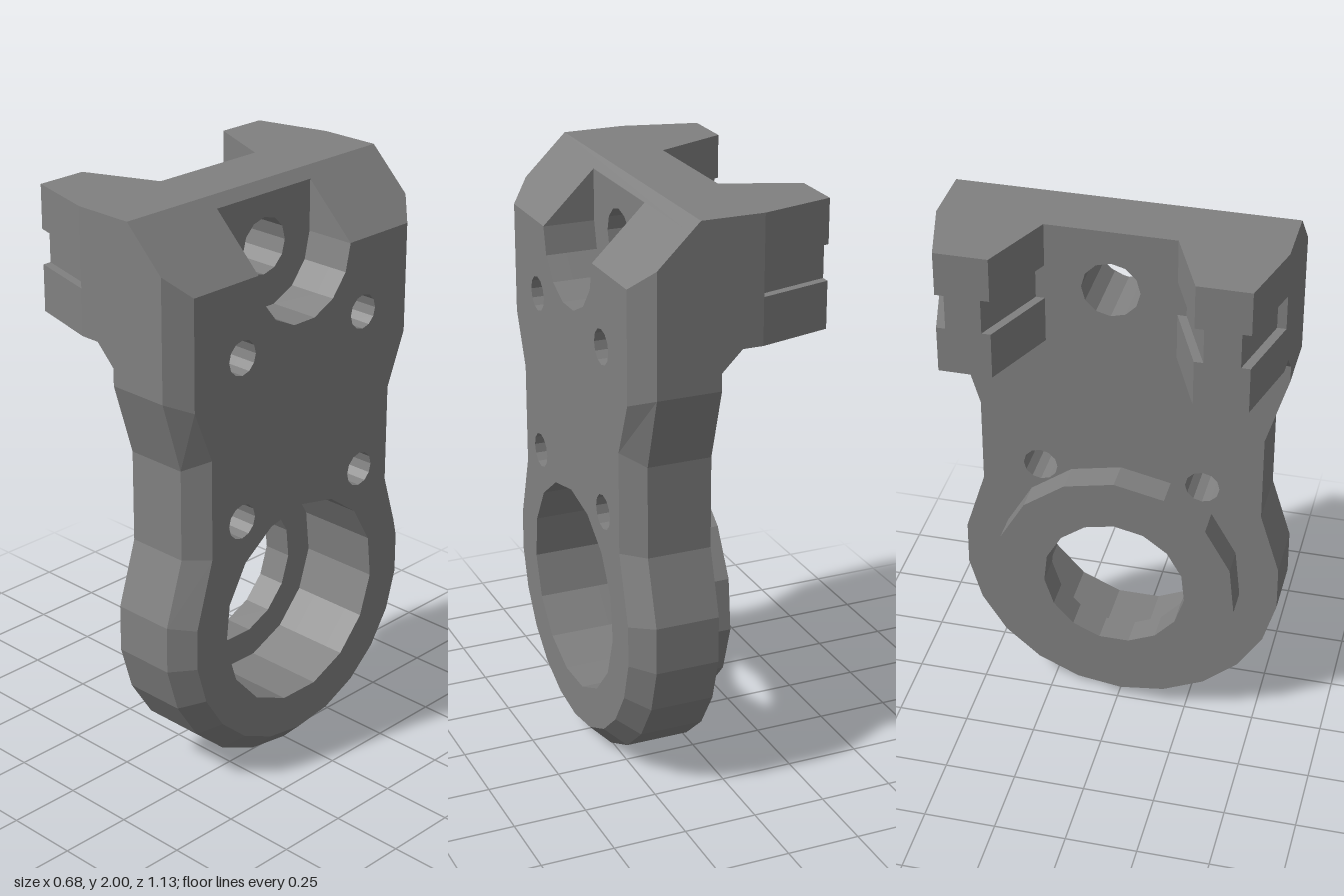
import * as THREE from 'three';

const V = (z, y) => new THREE.Vector2(z, y);
const BORE_Y = 0.57, PIN_Y = 1.79, SCREW_Z = 0.285;

// Regular polygon in the (z, y) plane with a corner at the top
function ring(z, y, r, n) {
  return Array.from({ length: n }, (_, i) => {
    const a = (i / n) * Math.PI * 2;
    return V(z + r * Math.sin(a), y + r * Math.cos(a));
  });
}

// Faceted solid along x between two matching contours; xBack may depend on height
function loft(back, front, xBack, xFront, holes = []) {
  const pos = [];
  const bx = typeof xBack === 'function' ? xBack : () => xBack;
  const B = p => [bx(p.y), p.y, p.x];
  const F = p => [xFront, p.y, p.x];
  const wall = (b, f) => b.forEach((p, i) => {
    const j = (i + 1) % b.length;
    pos.push(...B(p), ...F(f[j]), ...B(b[j]), ...B(p), ...F(f[i]), ...F(f[j]));
  });
  const cap = (contour, place, toFront) => {
    const all = [contour, ...holes].flat();
    for (const [i, j, k] of THREE.ShapeUtils.triangulateShape(contour.slice(), holes.map(h => h.slice()))) {
      const [a, b, c] = [all[i], all[j], all[k]];
      const ccw = (b.x - a.x) * (c.y - a.y) - (b.y - a.y) * (c.x - a.x) > 0;
      const tri = ccw === toFront ? [a, c, b] : [a, b, c];
      tri.forEach(p => pos.push(...place(p)));
    }
  };
  if (THREE.ShapeUtils.isClockWise(back)) {
    back = back.slice().reverse();
    front = front.slice().reverse();
  }
  holes = holes.map(h => (THREE.ShapeUtils.isClockWise(h) ? h : h.slice().reverse()));
  wall(back, front);
  holes.forEach(h => wall(h, h));
  cap(back, B, false);
  cap(front, F, true);
  const g = new THREE.BufferGeometry();
  g.setAttribute('position', new THREE.Float32BufferAttribute(pos, 3));
  g.computeVertexNormals();
  return g;
}

// Plate outline: round foot, narrow waist, square head, optional U pocket at the top
function outline(inset, top, pocket) {
  const half = [];
  for (let i = 0; i <= 6; i++) {
    const a = THREE.MathUtils.degToRad(i * 16.4), r = 0.567 - inset;
    half.push(V(r * Math.sin(a), BORE_Y - r * Math.cos(a)));
  }
  const k = inset / 0.07;
  half.push(V(0.492 - inset, 0.875), V(0.492 - inset, 1.19 + 0.035 * k),
    V(0.567 - inset, 1.44 - 0.03 * k), V(0.567 - inset, top));
  const mid = [];
  if (pocket) {
    mid.push(V(0.215, top));
    for (let i = 0; i <= 7; i++) {
      const a = (i / 7) * Math.PI;
      mid.push(V(0.215 * Math.cos(a), PIN_Y - 0.001 - 0.215 * Math.sin(a)));
    }
    mid.push(V(-0.215, top));
  }
  const mirrored = half.slice(1).reverse().map(p => V(-p.x, p.y));
  return [...half, ...mid, ...mirrored];
}

// Sloping top of the head
const topAt = x => (x <= 0.125 ? 2 : 2 - (x - 0.125) * (0.21 / 0.215));

export function createModel() {
  const group = new THREE.Group();
  group.name = 'bracket';
  const grey = new THREE.MeshStandardMaterial({ color: 0x808080 });
  grey.name = 'grey';
  const add = (name, geometry) => {
    const mesh = new THREE.Mesh(geometry, grey);
    mesh.name = name;
    group.add(mesh);
  };

  // Plate with recess and four screw holes, built in layers from back to front
  const recess = ring(0, BORE_Y, 0.36, 15);
  const pin = ring(0, PIN_Y, 0.097, 12);
  const screws = [];
  for (const s of [-1, 1]) for (const y of [0.965, 1.535]) screws.push(ring(s * SCREW_Z, y, 0.06, 12));
  const layers = [
    ['plateBack', 0.05, 0.125, 0, false],
    ['plateMiddle', 0.125, 0.16, 0, false],
    ['plateFront', 0.16, 0.27, 0, true],
    ['plateChamfer', 0.27, 0.34, 0.07, true],
  ];
  for (const [name, x0, x1, inset, pocket] of layers) {
    const holes = [recess, ...screws];
    if (!pocket) holes.push(pin);
    add(name, loft(outline(0, topAt(x0), pocket), outline(inset, topAt(x1), pocket), x0, x1, holes));
  }

  // Raised collar behind the recess
  const collar = ring(0, BORE_Y, 0.43, 15);
  add('collar', loft(collar, collar, -0.055, 0.05, [ring(0, BORE_Y, 0.253, 15)]));

  // Head block, with the screw holes nicking its lower edge
  const W = 0.567, LOW = 1.57, CHORD = 0.0487;
  const block = [V(-W, LOW), V(W, LOW), V(W, 2), V(-W, 2)];
  add('headBack', loft(block, block, -0.09, -0.02, [pin]));
  const nick = z => [V(z - CHORD, LOW), V(z - 0.03, 1.587), V(z, 1.595), V(z + 0.03, 1.587), V(z + CHORD, LOW)];
  const nicked = [V(-W, LOW), ...nick(-SCREW_Z), ...nick(SCREW_Z), V(W, LOW), V(W, 2), V(-W, 2)];
  add('headMiddle', loft(nicked, nicked, -0.02, 0.05, [pin]));

  // Sloping gusset under the head, interrupted by the screw holes
  const slope = y => 0.05 - (y - 1.5);
  const inner = SCREW_Z - CHORD, outer = SCREW_Z + CHORD;
  const centre = [V(-inner, 1.5), V(inner, 1.5), V(SCREW_Z - 0.06, 1.535), V(inner, LOW),
    V(-inner, LOW), V(0.06 - SCREW_Z, 1.535)];
  add('gussetCentre', loft(centre, centre, slope, 0.0501));
  for (const s of [1, -1]) {
    const side = [V(s * outer, 1.5), V(s * W, 1.5), V(s * W, LOW), V(s * outer, LOW),
      V(s * (SCREW_Z + 0.06), 1.535)];
    add('gussetSide', loft(side, side, slope, 0.0501));
  }

  // Tapered arms with a groove along both faces
  for (const s of [1, -1]) {
    for (const [name, y0, y1, g] of [['armLower', LOW, 1.73, 0], ['armGroove', 1.73, 1.85, 0.03], ['armUpper', 1.85, 2, 0]]) {
      const shape = new THREE.Shape([V(-0.342, s * (0.502 - g)), V(-0.09, s * (W - g)),
        V(-0.09, s * (0.217 + g)), V(-0.342, s * (0.324 + g))]);
      const geometry = new THREE.ExtrudeGeometry(shape, { depth: y1 - y0, bevelEnabled: false });
      geometry.rotateX(Math.PI / 2).translate(0, y1, 0);
      add(name, geometry);
    }
  }
  return group;
}
